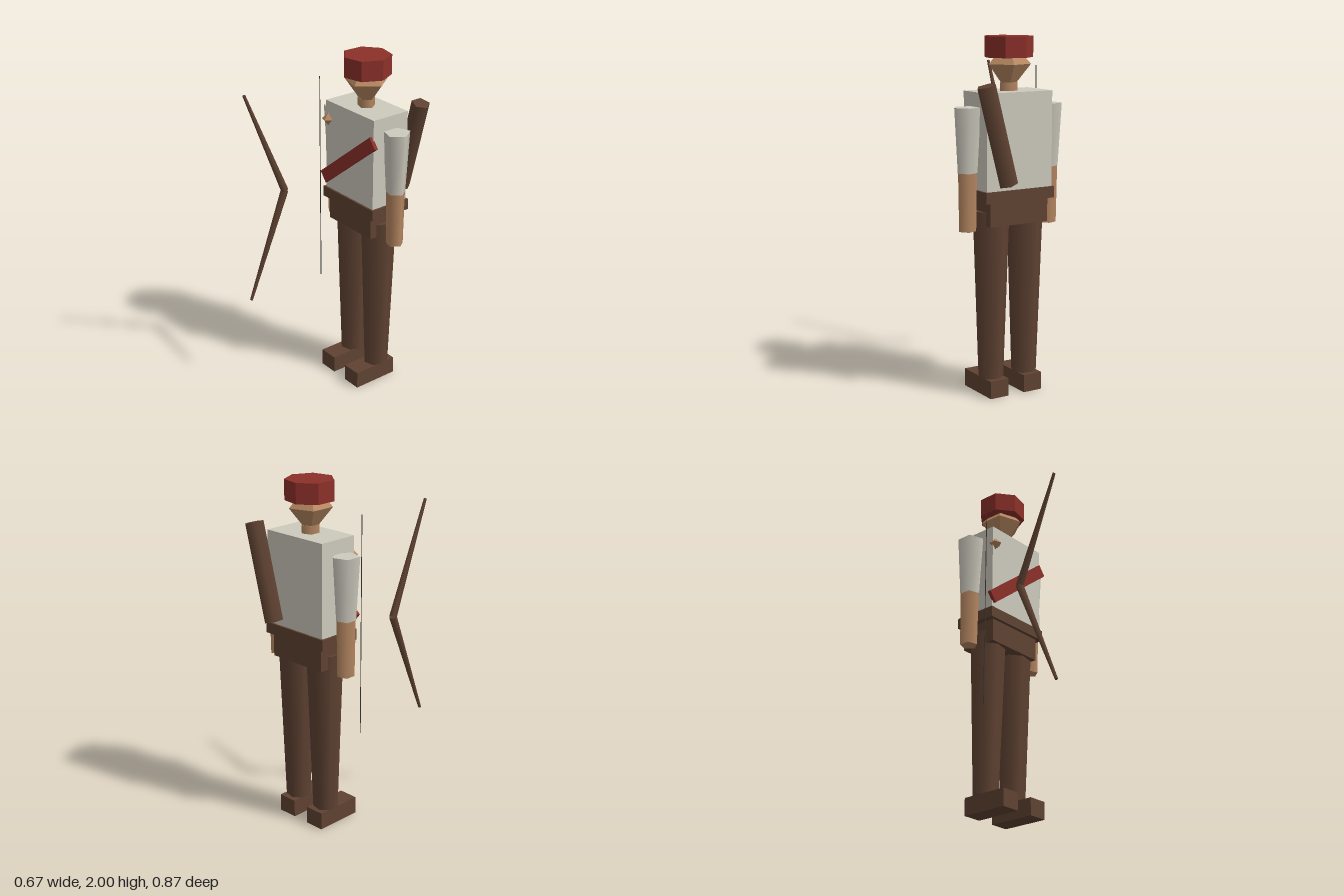
import * as THREE from 'three';

const mat = (name, color) => {
  const m = new THREE.MeshStandardMaterial({ color });
  m.name = name;
  return m;
};

// Splits shared vertices so every facet is shaded flat
const facet = (geo) => {
  const g = geo.toNonIndexed();
  g.computeVertexNormals();
  return g;
};

// Upright prism or cone with one corner toward +x
const prism = (top, bottom, height, sides) =>
  new THREE.CylinderGeometry(top, bottom, height, sides).rotateY(Math.PI / 2);

export function createModel() {
  const model = new THREE.Group();
  model.name = 'archer';

  const linen = mat('linen', 0xcdcabd);
  const leather = mat('leather brown', 0x5f4232);
  const red = mat('red cloth', 0x8c302a);
  const skin = mat('skin', 0xb78862);
  const cord = mat('cord', 0x3a3a3a);

  const CX = -0.007; // body axis
  const CZ = -0.207;

  const add = (name, geo, material, x, y, z) => {
    const mesh = new THREE.Mesh(geo, material);
    mesh.name = name;
    mesh.position.set(x, y, z);
    model.add(mesh);
    return mesh;
  };
  const box = (name, w, d, y0, y1, material, x = CX, z = CZ) =>
    add(name, new THREE.BoxGeometry(w, y1 - y0, d), material, x, (y0 + y1) / 2, z);
  const post = (name, top, bottom, y0, y1, sides, material, x = CX, z = CZ) =>
    add(name, prism(top, bottom, y1 - y0, sides), material, x, (y0 + y1) / 2, z);

  // Tapered rod between two points
  const rod = (name, a, b, ra, rb, sides, material) => {
    const dir = b.clone().sub(a);
    const mid = a.clone().add(b).multiplyScalar(0.5);
    const mesh = add(name, prism(rb, ra, dir.length(), sides), material, mid.x, mid.y, mid.z);
    mesh.quaternion.setFromUnitVectors(new THREE.Vector3(0, 1, 0), dir.normalize());
    return mesh;
  };

  // Trunk
  box('torso', 0.418, 0.242, 1.17, 1.705, linen);
  box('belt', 0.442, 0.264, 1.113, 1.176, leather);
  box('hips', 0.372, 0.224, 0.98, 1.113, leather, -0.01);

  // Legs and shoes
  for (const [side, legX, shoeX] of [['left', 0.105, 0.103], ['right', -0.117, -0.118]]) {
    post(side + 'Leg', 0.105, 0.0725, 0.1, 1.055, 7, leather, legX);
    box(side + 'Shoe', 0.117, 0.282, 0, 0.101, leather, shoeX, -0.161);
  }

  // Sleeves and forearms
  for (const [side, x] of [['left', 0.256], ['right', -0.272]]) {
    post(side + 'Sleeve', 0.077, 0.057, 1.272, 1.626, 5, linen, x);
    post(side + 'Forearm', 0.055, 0.05, 0.951, 1.272, 5, skin, x);
  }

  // Neck, pointed head and cap
  post('neck', 0.051, 0.051, 1.69, 1.751, 5, skin);
  const headProfile = [[0, 1.69], [0.124, 1.85], [0, 1.99]].map(([r, y]) => new THREE.Vector2(r, y));
  const headGeo = new THREE.LatheGeometry(headProfile, 5).rotateY(Math.PI / 2);
  add('head', facet(headGeo), skin, CX, 0, CZ);
  add('cap', facet(prism(0.137, 0.137, 0.114, 7)), red, CX, 1.943, CZ);

  // Sash across the chest and a faceted clasp at the shoulder
  const sash = add('sash', new THREE.BoxGeometry(0.554, 0.075, 0.022), red, -0.008, 1.407, -0.081);
  sash.rotation.z = 0.67;
  const claspGeo = new THREE.SphereGeometry(0.037, 5, 2).rotateY(Math.PI);
  add('clasp', facet(claspGeo), skin, -0.196, 1.597, -0.085);

  // Quiver leaning on the back
  rod('quiver', new THREE.Vector3(0.103, 1.217, -0.384), new THREE.Vector3(0.245, 1.75, -0.384),
    0.053, 0.053, 5, leather);

  // Bow limbs, mirrored about the grip, and the string
  const bowX = -0.273;
  const gripY = 1.198;
  for (const [name, s] of [['upperBowLimb', 1], ['lowerBowLimb', -1]]) {
    rod(name, new THREE.Vector3(bowX, gripY, 0.172),
      new THREE.Vector3(bowX, gripY + s * 0.63, 0.426), 0.023, 0.009, 5, leather);
  }
  post('bowString', 0.003, 0.003, 0.568, 1.828, 4, cord, bowX, -0.086);

  return model;
}
